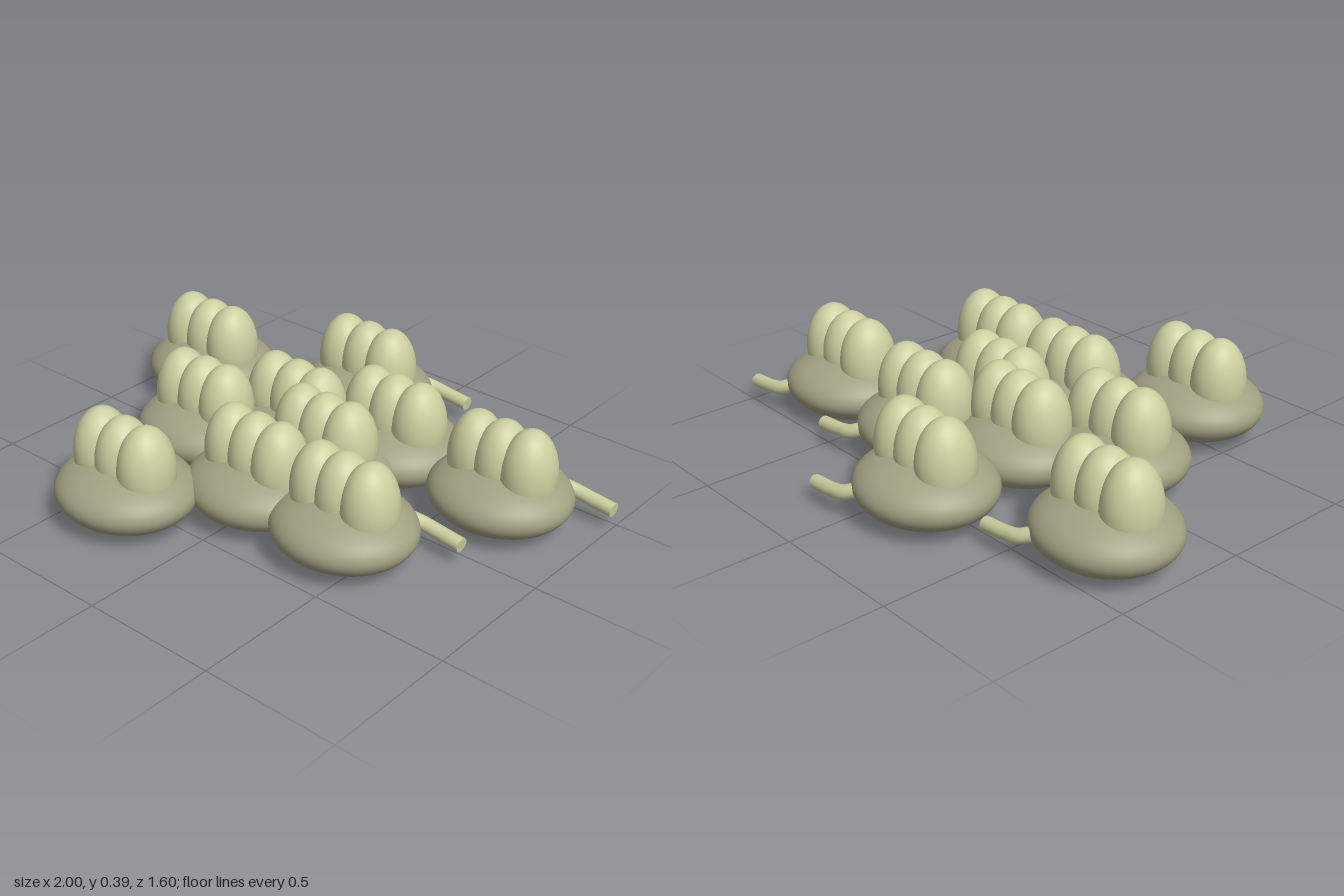
import * as THREE from 'three';

const mat = (name, color) => {
  const m = new THREE.MeshStandardMaterial({ color });
  m.name = name;
  return m;
};

export function createModel() {
  const group = new THREE.Group();
  group.name = 'cellCluster';
  const bodyMat = mat('dull olive', 0xa3a183);
  const lobeMat = mat('pale olive', 0xcccf9f);

  // Shared geometries: flattened body, upright lobe, bent tail
  const bodyGeo = new THREE.SphereGeometry(1, 48, 32).scale(0.26, 0.116, 0.237);
  const lobeGeo = new THREE.SphereGeometry(1, 32, 24).scale(0.096, 0.165, 0.107);
  const tailPath = new THREE.CatmullRomCurve3([
    [0.07, 0.12, -0.13], [0.12, 0.113, -0.185], [0.165, 0.095, -0.212],
    [0.22, 0.084, -0.217], [0.322, 0.073, -0.215],
  ].map(p => new THREE.Vector3(...p)));
  const tailGeo = new THREE.TubeGeometry(tailPath, 24, 0.026, 12);
  const capGeo = new THREE.CircleGeometry(0.026, 12);

  const add = (parent, name, geo, material, x, y, z) => {
    const m = new THREE.Mesh(geo, material);
    m.name = name;
    m.position.set(x, y, z);
    parent.add(m);
    return m;
  };

  // x, z centre of every cell
  const cells = [
    [-0.74, -0.318], [-0.15, -0.56], [0.2, -0.282], [0.675, -0.26], [-0.14, -0.14],
    [0.105, -0.012], [-0.41, 0.06], [0.02, 0.25], [0.412, 0.255], [-0.3, 0.562],
  ];
  cells.forEach(([x, z], i) => {
    const cell = new THREE.Group();
    cell.name = `cell${i + 1}`;
    cell.position.set(x, 0, z);
    add(cell, 'body', bodyGeo, bodyMat, 0, 0.12, 0);
    for (const dx of [-0.107, 0, 0.107]) add(cell, 'lobe', lobeGeo, lobeMat, dx, 0.23, 0);
    add(cell, 'tail', tailGeo, lobeMat, 0, 0, 0);
    // Flat end of the tail
    const cap = add(cell, 'tailEnd', capGeo, lobeMat, 0.322, 0.073, -0.215);
    cap.quaternion.setFromUnitVectors(new THREE.Vector3(0, 0, 1), tailPath.getTangentAt(1));
    group.add(cell);
  });
  return group;
}
